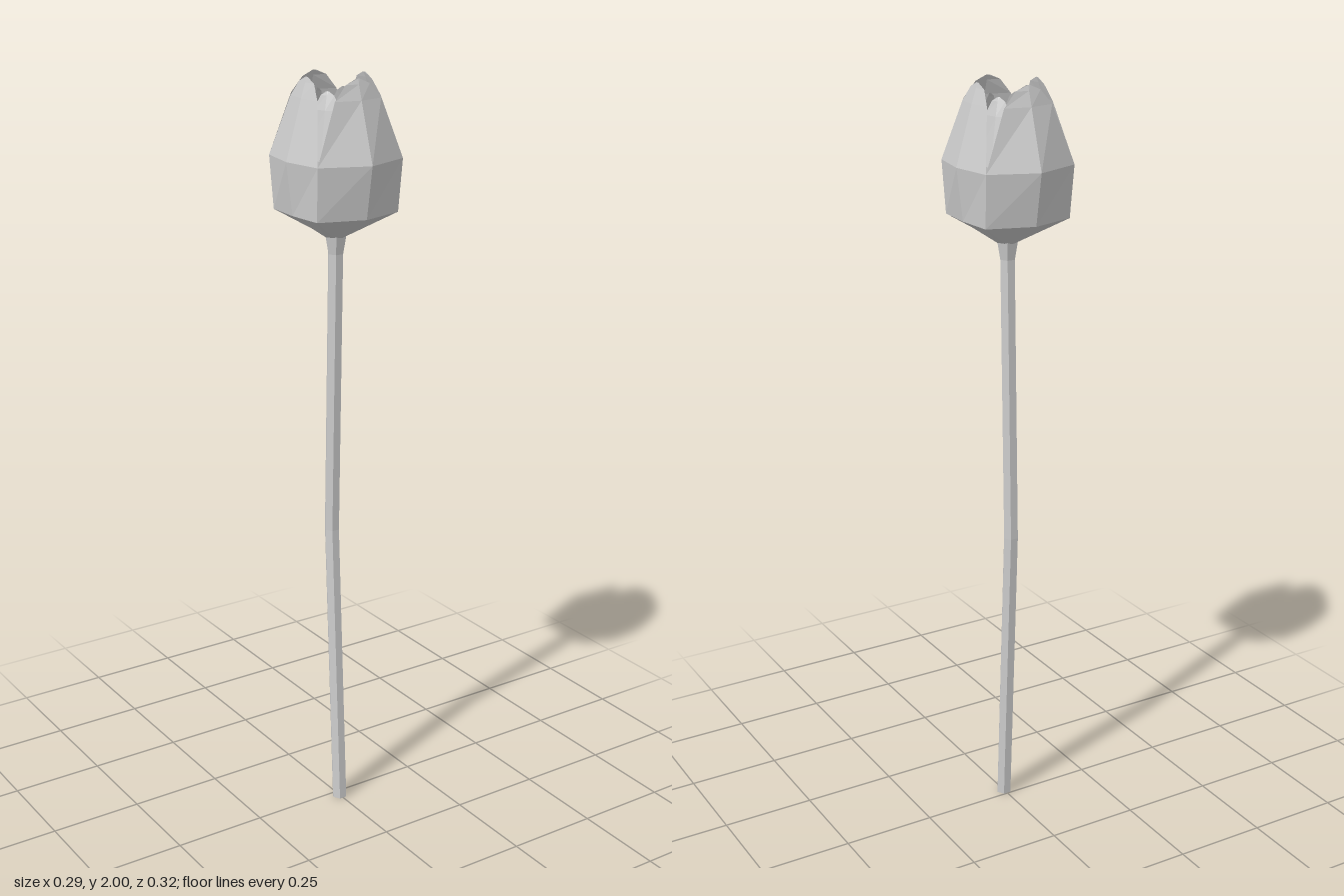
import * as THREE from 'three';

const petalGrey = new THREE.MeshStandardMaterial({ color: 0xcccccc });
petalGrey.name = 'matte grey';
petalGrey.flatShading = true;
petalGrey.side = THREE.DoubleSide;

// Each petal row: [height, centre distance, edge distance, half width]
const frontRows = [
  [1.6, 0.03, 0.018, 0.02],
  [1.665, 0.138, 0.1, 0.12],
  [1.8, 0.161, 0.111, 0.125],
  [1.95, 0.113, 0.098, 0.067],
  [1.987, 0.101, 0.096, 0.035],
  [2.0, 0.096, 0.096, 0.005],
];
const sideRows = [
  [1.6, 0.03, 0.02, 0.018],
  [1.665, 0.127, 0.12, 0.1],
  [1.8, 0.144, 0.125, 0.111],
  [1.95, 0.1, 0.092, 0.06],
  [1.987, 0.088, 0.084, 0.033],
  [2.0, 0.084, 0.084, 0.005],
];
const innerRows = [
  [1.61, 0.028, 0.022, 0.018],
  [1.67, 0.072, 0.054, 0.052],
  [1.8, 0.088, 0.062, 0.06],
  [1.92, 0.062, 0.05, 0.036],
  [1.955, 0.052, 0.047, 0.018],
  [1.965, 0.048, 0.048, 0.004],
];

// A petal folded along its centre line, facing +z before it is turned
function petal(name, rows, angle) {
  const points = [];
  const index = [];
  rows.forEach(([y, centre, edge, half], r) => {
    points.push(-half, y, edge, 0, y, centre, half, y, edge);
    if (r === rows.length - 1) return;
    for (let c = 0; c < 2; c++) {
      const a = r * 3 + c;
      index.push(a, a + 1, a + 4, a, a + 4, a + 3);
    }
  });
  let geometry = new THREE.BufferGeometry();
  geometry.setAttribute('position', new THREE.Float32BufferAttribute(points, 3));
  geometry.setIndex(index);
  geometry = geometry.toNonIndexed();
  geometry.computeVertexNormals();
  const mesh = new THREE.Mesh(geometry, petalGrey);
  mesh.name = name;
  mesh.rotation.y = angle;
  return mesh;
}

// Six-sided stem with a slight bend and a flared top
function stem() {
  const rows = [ // [height, z offset, radius], from the top down
    [1.615, 0, 0.032],
    [1.555, 0, 0.021],
    [0.8, -0.018, 0.021],
    [0, 0.02, 0.021],
  ];
  let geometry = new THREE.CylinderGeometry(1, 1, 3, 6, 3, false, Math.PI / 2);
  const p = geometry.attributes.position;
  for (let i = 0; i < p.count; i++) {
    const [y, z, radius] = rows[Math.round(1.5 - p.getY(i))];
    p.setXYZ(i, p.getX(i) * radius, y, p.getZ(i) * radius + z);
  }
  geometry = geometry.toNonIndexed();
  geometry.computeVertexNormals();
  const mesh = new THREE.Mesh(geometry, petalGrey);
  mesh.name = 'stem';
  return mesh;
}

export function createModel() {
  const model = new THREE.Group();
  model.name = 'tulip';
  model.add(stem());

  // Four outer petals around four smaller, twisted inner ones
  const names = ['front', 'left', 'back', 'right'];
  const twist = THREE.MathUtils.degToRad(32);
  names.forEach((side, i) => {
    const angle = (i * Math.PI) / 2;
    model.add(petal(side + 'OuterPetal', i % 2 ? sideRows : frontRows, angle));
    model.add(petal(side + 'InnerPetal', innerRows, angle + twist));
  });
  return model;
}
